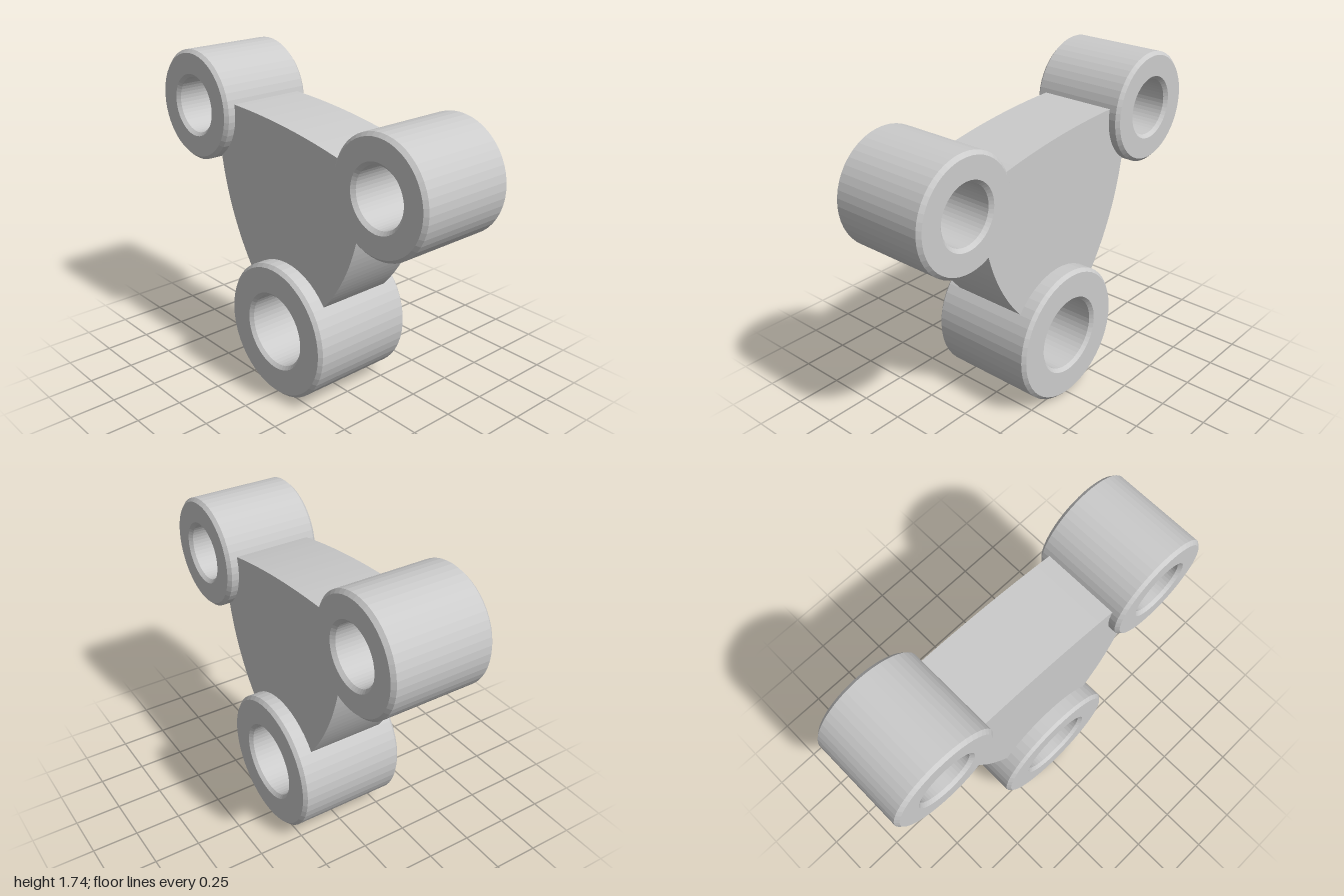
import * as THREE from 'three';

const material = new THREE.MeshStandardMaterial({ color: 0xcccccc, flatShading: true });

// Three bosses: centre, outer radius, bore radius, half length,
// and the angles (degrees) between which the web joins the boss
const bosses = [
  { name: 'lowerBoss', x: 0, y: 0.372, r: 0.371, bore: 0.197, half: 0.3, from: 142, to: 37.5 },
  { name: 'upperLeftBoss', x: 0.703, y: 1.313, r: 0.297, bore: 0.15, half: 0.268, from: 233.4, to: 163 },
  { name: 'upperRightBoss', x: -0.703, y: 1.441, r: 0.297, bore: 0.15, half: 0.268, from: 371, to: 304.7 },
];

// Hollow cylinder along z with chamfered outer and inner rims
function makeBoss({ name, x, y, r, bore, half }) {
  const c = 0.018;
  const profile = [
    [r - c, -half], [r, -half + c], [r, half - c], [r - c, half],
    [bore + c, half], [bore, half - c], [bore, -half + c], [bore + c, -half], [r - c, -half],
  ].map(([a, b]) => new THREE.Vector2(a, b));
  const geometry = new THREE.LatheGeometry(profile, 48).rotateX(Math.PI / 2);
  const mesh = new THREE.Mesh(geometry, material);
  mesh.name = name;
  mesh.position.set(x, y, 0);
  return mesh;
}

// Plate with bowed edges, its corners ending just inside the boss walls
function makeWeb() {
  const half = 0.21;
  const controls = [[0.475, 0.8], [0.03, 1.487], [-0.488, 0.87]];
  const rad = THREE.MathUtils.degToRad;
  const onBoss = (b, deg) => [
    b.x + (b.r - 0.012) * Math.cos(rad(deg)),
    b.y + (b.r - 0.012) * Math.sin(rad(deg)),
  ];
  const shape = new THREE.Shape();
  shape.moveTo(...onBoss(bosses[0], bosses[0].from));
  bosses.forEach((b, i) => {
    // Concave seat against the boss, then the bowed edge to the next one
    for (let k = 1; k <= 12; k++) {
      shape.lineTo(...onBoss(b, b.from + ((b.to - b.from) * k) / 12));
    }
    const next = bosses[(i + 1) % 3];
    shape.quadraticCurveTo(...controls[i], ...onBoss(next, next.from));
  });
  const geometry = new THREE.ExtrudeGeometry(shape, {
    depth: 2 * half, bevelEnabled: false, curveSegments: 16,
  });
  geometry.translate(0, 0, -half);
  const mesh = new THREE.Mesh(geometry, material);
  mesh.name = 'web';
  return mesh;
}

export function createModel() {
  const model = new THREE.Group();
  model.name = 'threeBossLink';
  model.add(makeWeb(), ...bosses.map(makeBoss));
  return model;
}
